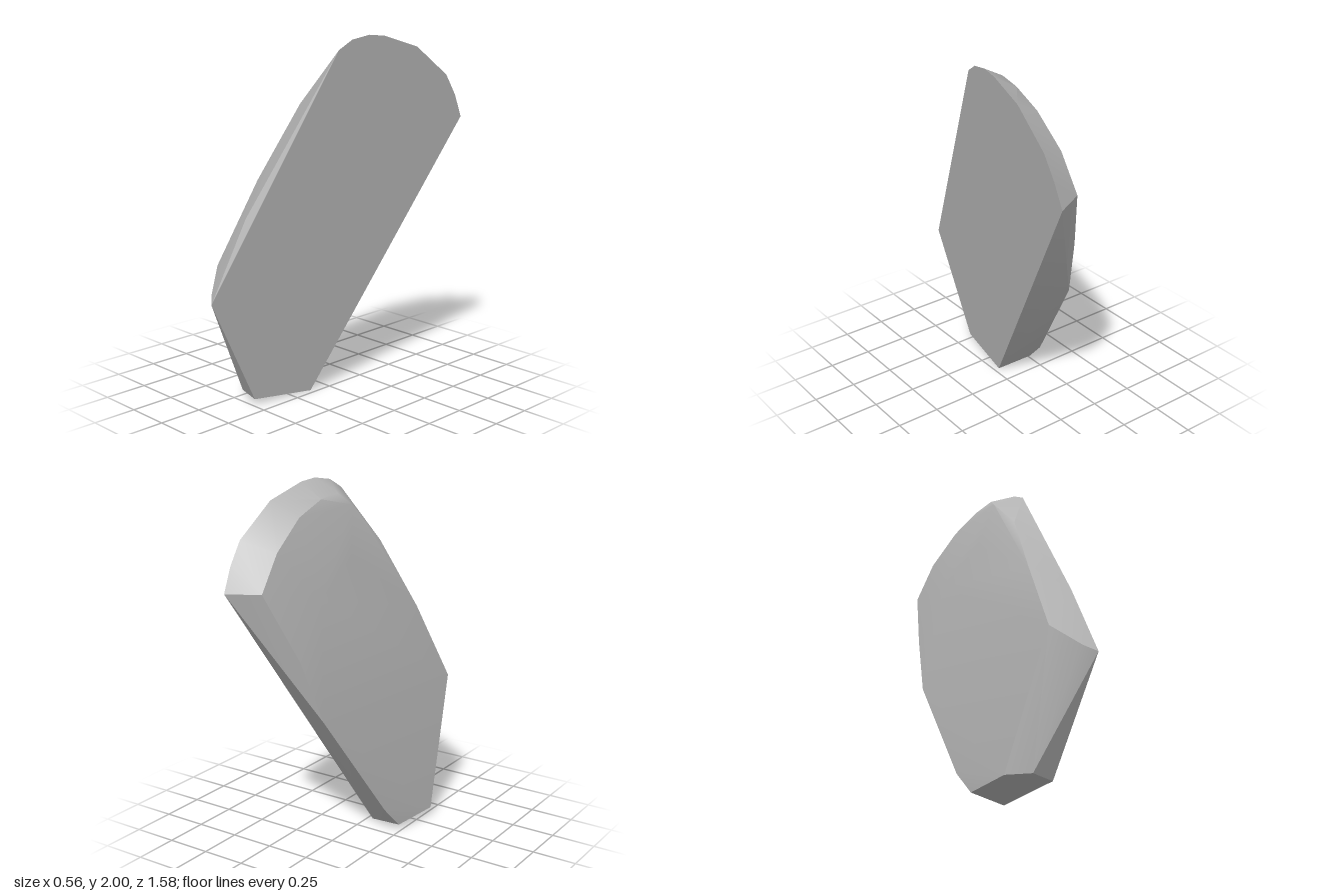
import * as THREE from 'three';
import { toCreasedNormals } from 'three/addons/utils/BufferGeometryUtils.js';
import { ConvexGeometry } from 'three/addons/geometries/ConvexGeometry.js';

export function createModel() {
  const model = new THREE.Group();
  const stoneGrey = new THREE.MeshStandardMaterial({ color: 0xb2b2b2 });
  stoneGrey.name = 'stone grey';
  const points = (list) => list.map(([x, y, z]) => new THREE.Vector3(x, y, z));

  // Flat face: an outline of [y, z] pairs laid on one tilted plane
  const flatFace = [
    [0.645, 0.79], [1.93, 0.1], [1.98, 0.02], [2, -0.09], [1.99, -0.19],
    [1.92, -0.42], [1.75, -0.65], [1.63, -0.73], [1.5, -0.79], [0, 0.12], [0.035, 0.49],
  ].map(([y, z]) => new THREE.Vector3(-0.011 + 0.103 * y - 0.159 * z, y, z));

  // Narrow foot and the pointed lower front
  const foot = points([
    [-0.21, 0.05, 0.47], [-0.285, 0.05, 0.35], [-0.235, 0.03, 0.08],
    [-0.235, 0.79, 0.61], [-0.13, 0.675, 0.74], [-0.02, 1.08, 0.59],
  ]);

  // Outer ring of the broad back face
  const backFace = points([
    [-0.215, 0.16, -0.04], [-0.085, 0.78, -0.44], [-0.02, 1.13, -0.55],
    [-0.02, 1.42, -0.36], [-0.02, 1.6, -0.08], [-0.02, 1.64, 0.2], [-0.14, 1.24, 0.4],
  ]);

  // Rounded shoulder between the back face and the rim
  const shoulder = points([
    [0.1, 1.5, -0.7], [0.1, 1.69, -0.57], [0.1, 1.84, -0.38],
    [0.09, 1.91, -0.2], [0.08, 1.93, -0.07], [0.03, 1.86, 0],
  ]);

  const hull = new ConvexGeometry([...flatFace, ...foot, ...backFace, ...shoulder]);
  const stone = new THREE.Mesh(toCreasedNormals(hull, 0.55), stoneGrey);
  stone.name = 'stone';
  model.add(stone);
  return model;
}
